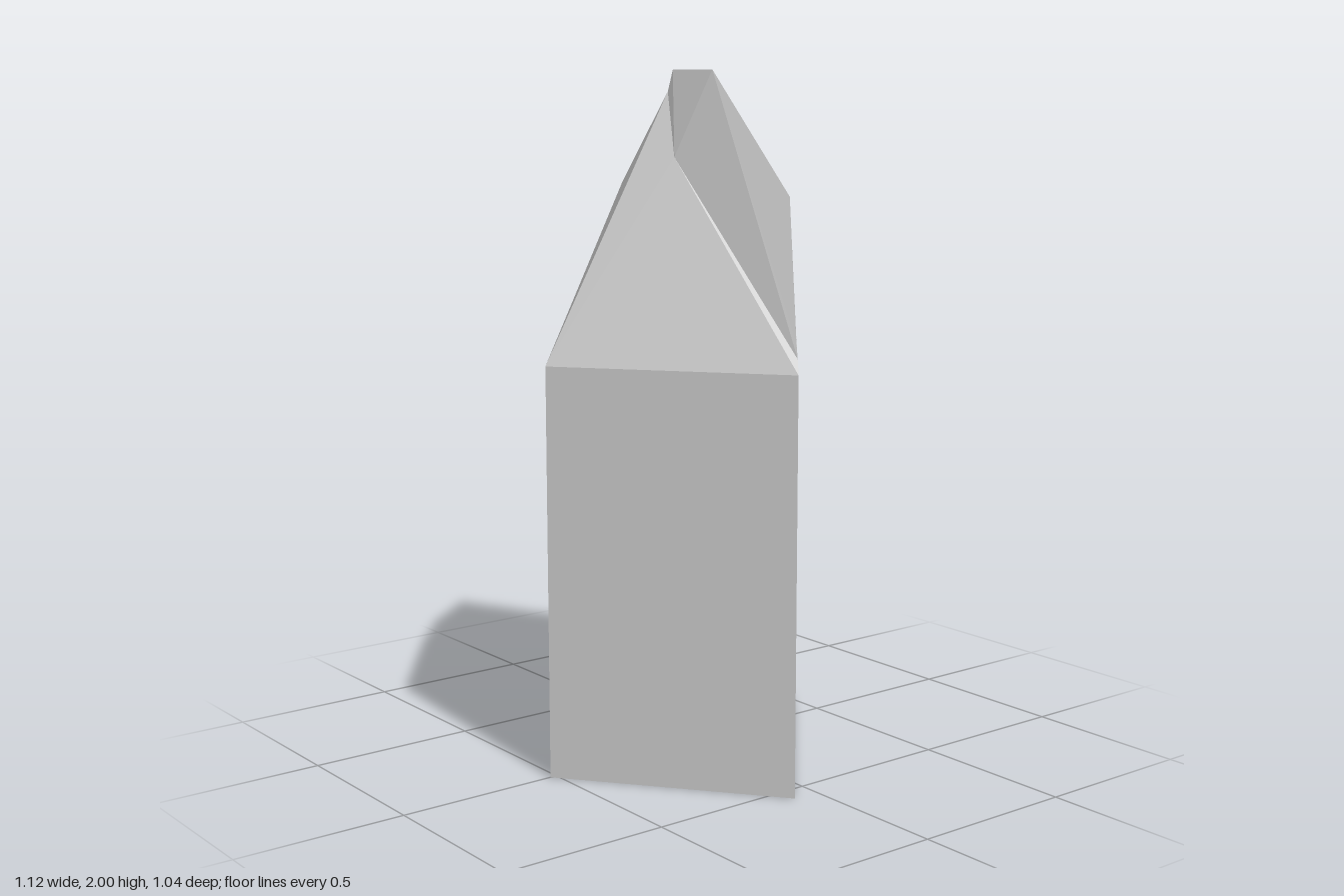
import * as THREE from 'three';

const EAVES = 1.19;

// Wall corners in plan (x, z)
const corners = { A: [-0.56, -0.22], B: [-0.14, -0.52], C: [0.56, 0.08], D: [0, 0.52] };

// Roof points (x, y, z)
const points = {
  P: [-0.14, 2, -0.13], Q: [0.2, 2, 0.09], R: [0.06, 2, 0.12], // flat top
  S: [-0.255, 1.7, -0.075], T: [-0.05, 1.69, 0.215], // left shoulder
  N: [0.05, 1.94, 0.13], U: [0.125, 1.76, 0.165], // front hip
  V: [-0.01, 1.69, -0.29], W: [0.05, 1.63, -0.325], X: [0.05, EAVES, -0.356], // back step
  Y: [0.54, 1.23, 0.066], // foot of the right hip
};
for (const [k, [x, z]] of Object.entries(corners)) points[k] = [x, EAVES, z];

// Builds flat facets from polygons of point names, all turned outward
function facets(faces) {
  const v = {};
  for (const k in points) v[k] = new THREE.Vector3(...points[k]);
  const centre = new THREE.Vector3(0, 1.2, 0);
  const out = [];
  for (const face of faces) {
    for (let i = 1; i < face.length - 1; i++) {
      const [a, b, c] = [face[0], face[i], face[i + 1]].map((k) => v[k]);
      const n = b.clone().sub(a).cross(c.clone().sub(a));
      out.push(...(n.dot(a.clone().sub(centre)) > 0 ? [a, b, c] : [a, c, b]));
    }
  }
  const geometry = new THREE.BufferGeometry().setFromPoints(out);
  geometry.computeVertexNormals();
  return geometry;
}

export function createModel() {
  const group = new THREE.Group();
  const material = new THREE.MeshStandardMaterial({ color: 0xcccccc, flatShading: true });
  const add = (name, geometry) => {
    const mesh = new THREE.Mesh(geometry, material);
    mesh.name = name;
    group.add(mesh);
  };

  // Four-sided block of walls
  const plan = new THREE.Shape(Object.values(corners).map(([x, z]) => new THREE.Vector2(x, -z)));
  const walls = new THREE.ExtrudeGeometry(plan, { depth: EAVES, bevelEnabled: false });
  walls.rotateX(-Math.PI / 2);
  add('walls', walls);

  // Irregular hipped roof
  add('roofTop', facets(['PQR']));
  add('roofLeft', facets(['ASP', 'ASTD', 'PST', 'PTN', 'PNR']));
  add('roofFront', facets(['TDN', 'NDU', 'NUR']));
  add('roofRight', facets(['DCU', 'UCY', 'UYQ', 'UQR']));
  add('roofBack', facets(['ABP', 'BWVP', 'PVQ', 'BXW', 'QXY', 'YXC']));
  add('roofStep', facets(['VWQ', 'WXQ']));

  return group;
}
